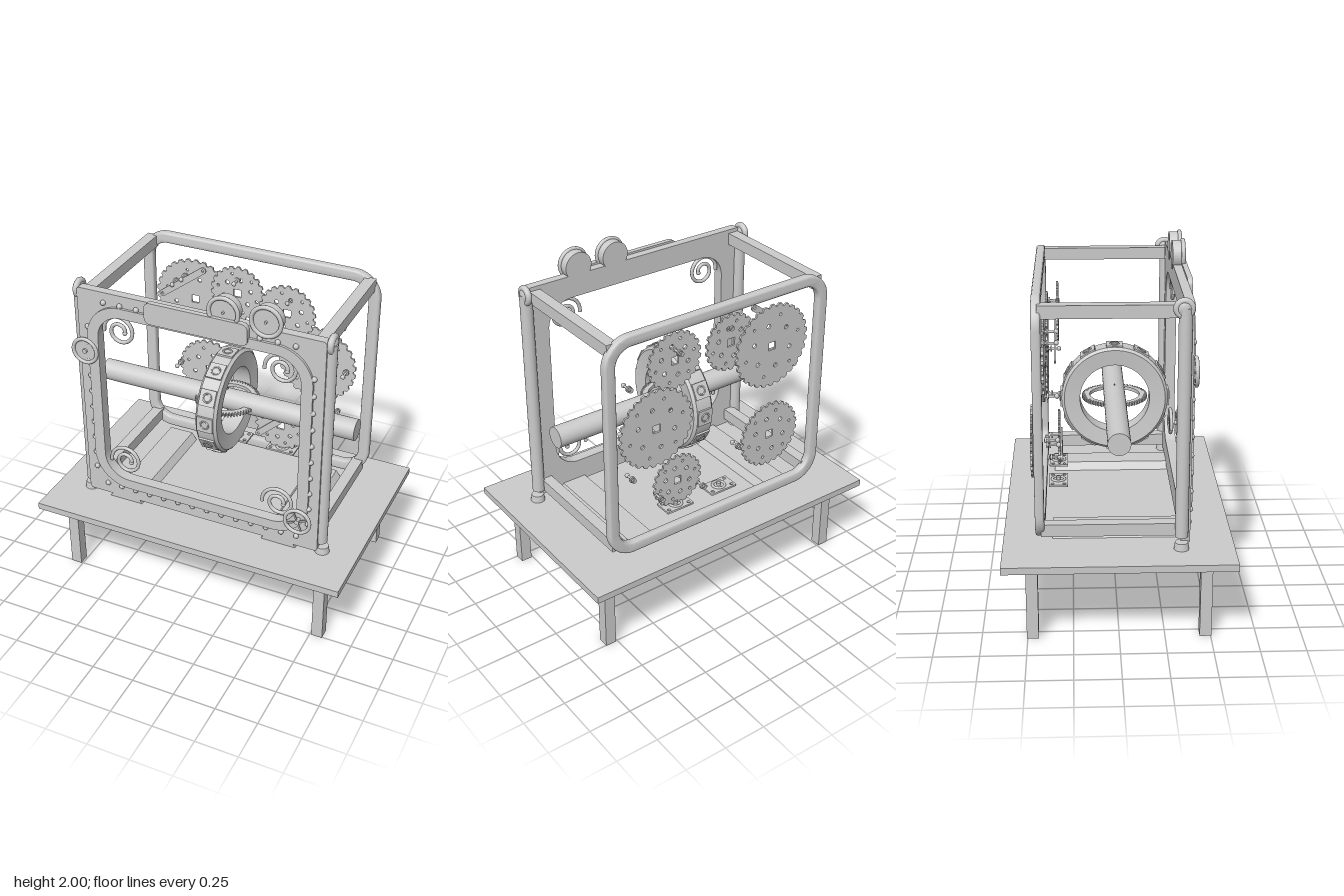
import * as THREE from 'three';
import { toCreasedNormals } from 'three/addons/utils/BufferGeometryUtils.js';

const MAT = new THREE.MeshStandardMaterial({ color: 0xcccccc, side: THREE.DoubleSide });
const TAU = Math.PI * 2;

export function createModel() {
  const root = new THREE.Group();

  const add = (name, geo, x = 0, y = 0, z = 0, parent = root) => {
    const m = new THREE.Mesh(geo, MAT);
    m.name = name;
    m.position.set(x, y, z);
    parent.add(m);
    return m;
  };
  const group = (name, x = 0, y = 0, z = 0) => {
    const g = new THREE.Group();
    g.name = name;
    g.position.set(x, y, z);
    root.add(g);
    return g;
  };
  const box = (w, h, d) => new THREE.BoxGeometry(w, h, d);
  const rodX = (r, l, n = 32) => new THREE.CylinderGeometry(r, r, l, n).rotateZ(Math.PI / 2);
  const rodZ = (r, l, n = 24) => new THREE.CylinderGeometry(r, r, l, n).rotateX(Math.PI / 2);
  const extrude = (shape, depth, bevel = 0) => toCreasedNormals(new THREE.ExtrudeGeometry(shape, {
    depth, curveSegments: 10, bevelEnabled: bevel > 0, bevelSize: bevel,
    bevelThickness: bevel, bevelOffset: -bevel, bevelSegments: 3 }), 0.6);

  // rounded rectangle outline
  const roundRect = (x0, y0, x1, y1, r) => {
    const s = new THREE.Shape();
    s.absarc(x1 - r, y0 + r, r, -Math.PI / 2, 0);
    s.absarc(x1 - r, y1 - r, r, 0, Math.PI / 2);
    s.absarc(x0 + r, y1 - r, r, Math.PI / 2, Math.PI);
    s.absarc(x0 + r, y0 + r, r, Math.PI, Math.PI * 1.5);
    s.closePath();
    return s;
  };
  const circleHole = (s, x, y, r) => s.holes.push(new THREE.Path().absarc(x, y, r, 0, TAU, true));
  const ring = (outer, inner) => { outer.holes.push(inner); return outer; };

  // toothed outline
  const toothed = (r, teeth, depth) => {
    const pts = [];
    for (let i = 0; i < teeth; i++)
      [[0, r - depth], [0.22, r], [0.6, r], [0.82, r - depth]].forEach(([f, q]) => {
        const a = (i + f) / teeth * TAU;
        pts.push(new THREE.Vector2(q * Math.cos(a), q * Math.sin(a)));
      });
    return new THREE.Shape(pts);
  };

  // table
  add('tableTop', box(1.89, 0.04, 1.26), 0, 0.47, 0);
  for (const sx of [-1, 1]) for (const sz of [-1, 1])
    add('tableLeg', box(0.065, 0.45, 0.065), sx * 0.792, 0.225, sz * 0.472);

  // front plate with raised inner border
  add('frontPlate', extrude(ring(roundRect(-0.725, 0.515, 0.725, 1.86, 0.02),
    roundRect(-0.6, 0.655, 0.6, 1.73, 0.15)), 0.05), 0, 0, 0.335);
  add('frontBorder', extrude(ring(roundRect(-0.665, 0.595, 0.665, 1.79, 0.21),
    roundRect(-0.6, 0.655, 0.6, 1.73, 0.15)), 0.015), 0, 0, 0.385);
  add('headPlate', extrude(roundRect(-0.3, 1.745, 0.3, 1.872, 0.035), 0.03), 0, 0, 0.383);

  // rivets round the plate
  const rivet = (x, y) => add('rivet', new THREE.SphereGeometry(0.016, 10, 8), x, y, 0.388);
  for (let i = 0; i < 10; i++) for (const s of [-1, 1]) rivet(s * 0.667, 0.69 + i * 0.1045);
  for (let i = 0; i < 14; i++) rivet(-0.6 + i * 1.2 / 13, 0.585);
  for (const x of [0.36, 0.46, 0.56]) { rivet(x, 1.8); rivet(-x, 1.8); }

  // rear frame
  add('rearFrame', extrude(ring(roundRect(-0.74, 0.52, 0.74, 1.87, 0.16),
    roundRect(-0.675, 0.585, 0.675, 1.805, 0.1)), 0.026, 0.012), 0, 0, -0.438);

  for (const s of [-1, 1]) {
    // side beams
    add('topBeam', box(0.065, 0.07, 0.75), s * 0.677, 1.805, -0.045);
    add('bottomBeam', box(0.065, 0.07, 0.75), s * 0.677, 0.59, -0.045);
    // front posts with feet and scroll caps
    add('frontPost', new THREE.CylinderGeometry(0.036, 0.036, 1.27, 20), s * 0.731, 1.195, 0.338);
    add('postFoot', new THREE.CylinderGeometry(0.036, 0.042, 0.04, 20), s * 0.74, 0.51, 0.338);
    add('postCap', new THREE.SphereGeometry(0.045, 20, 14).scale(0.55, 1, 1), s * 0.738, 1.828, 0.33);
    add('postCapRim', new THREE.TorusGeometry(0.04, 0.018, 10, 28).rotateY(Math.PI / 2), s * 0.738, 1.828, 0.33);
    // base runners
    const runner = new THREE.Shape([[-0.105, 0], [0.105, 0], [0.075, 0.045], [-0.075, 0.045]]
      .map(p => new THREE.Vector2(...p)));
    add('baseRunner', extrude(runner, 0.74), s * 0.488, 0.49, -0.36);
  }

  // corner scrolls
  const spiral = new THREE.CatmullRomCurve3(Array.from({ length: 26 }, (_, i) => {
    const t = i / 25, a = Math.PI * (1.05 - 3.1 * t), r = 0.1 - 0.07 * t;
    return new THREE.Vector3(r * Math.cos(a), r * Math.sin(a), 0);
  }));
  for (const x of [-0.478, 0.478]) for (const y of [0.765, 1.63]) {
    const g = group('cornerScroll', x, y, 0.365);
    add('scroll', new THREE.TubeGeometry(spiral, 60, 0.011, 8), 0, 0, 0, g);
    add('scrollTip', new THREE.SphereGeometry(0.014, 10, 8), 0.03 * Math.cos(-2.05 * Math.PI), 0.03 * Math.sin(-2.05 * Math.PI), 0, g);
  }

  // twin bells
  for (const x of [0.155, 0.395]) {
    const g = group('bell', x, 1.905, 0);
    add('bellDrum', rodZ(0.082, 0.06, 40), 0, 0, 0.362, g);
    add('bellRim', new THREE.TorusGeometry(0.083, 0.012, 10, 40), 0, 0, 0.393, g);
    add('bellPin', rodZ(0.008, 0.02, 10), 0, 0, 0.395, g);
  }

  // hand wheels on the front
  const handWheel = (x, y, z, spokes) => {
    const g = group('handWheel', x, y, z);
    add('wheelRim', new THREE.TorusGeometry(0.073, 0.011, 10, 40), 0, 0, 0, g);
    add('wheelHub', rodZ(0.014, 0.05, 14), 0, 0, -0.015, g);
    for (let i = 0; i < spokes; i++)
      add('wheelSpoke', box(0.14, 0.009, 0.009), 0, 0, 0, g).rotation.z = 0.4 + i * Math.PI / spokes;
  };
  handWheel(0.615, 0.715, 0.422, 2);
  handWheel(-0.687, 1.477, 0.402, 0);
  add('wheelDisc', rodZ(0.07, 0.01, 32), -0.687, 1.477, 0.395);

  // axle and central wheel
  add('axle', rodX(0.062, 1.58, 40), 0, 1.115, 0);
  const wheel = group('centralWheel', 0, 1.115, 0);
  const wheelProfile = [[0.2, -0.055], [0.29, -0.065], [0.305, -0.05], [0.305, 0.05],
    [0.29, 0.065], [0.2, 0.055], [0.2, -0.055]].map(p => new THREE.Vector2(...p));
  add('wheelRing', toCreasedNormals(new THREE.LatheGeometry(wheelProfile, 64).rotateZ(Math.PI / 2), 0.5), 0, 0, 0, wheel);
  for (let i = 0; i < 12; i++) {
    const a = i / 12 * TAU;
    const pad = add('wheelPad', box(0.095, 0.012, 0.09), 0, 0.306 * Math.cos(a), 0.306 * Math.sin(a), wheel);
    pad.rotation.set(a, 0, 0);
    pad.scale.z = 1.05;
    const stud = add('padStud', new THREE.TorusGeometry(0.024, 0.005, 6, 20).rotateX(Math.PI / 2),
      0, 0.313 * Math.cos(a), 0.313 * Math.sin(a), wheel);
    stud.rotation.x = a;
  }
  const crown = toothed(0.187, 64, 0.018);
  circleHole(crown, 0, 0, 0.145);
  add('crownGear', extrude(crown, 0.02).rotateX(-Math.PI / 2), 0, -0.01, 0, wheel);
  add('pointer', new THREE.CylinderGeometry(0.004, 0.004, 0.19, 8), 0, -0.025, 0, wheel);
  add('pointerTip', new THREE.ConeGeometry(0.013, 0.03, 10).rotateX(Math.PI), 0, -0.115, 0, wheel);

  // gear train: x, y, radius, z, teeth
  [[-0.39, 1.485, 0.255, -0.395, 30], [-0.11, 1.59, 0.17, -0.38, 22],
    [0.225, 1.56, 0.175, -0.325, 22], [0.395, 1.23, 0.24, -0.395, 28],
    [-0.335, 0.967, 0.203, -0.468, 26], [0.205, 0.785, 0.165, -0.325, 22],
  ].forEach(([x, y, r, z, teeth]) => {
    const s = toothed(r, teeth, 0.015);
    const q = 0.024;
    s.holes.push(new THREE.Path([[-q, -q], [-q, q], [q, q], [q, -q]].map(p => new THREE.Vector2(...p))));
    for (let i = 0; i < 6; i++) {
      const a = i / 6 * TAU + 0.3;
      circleHole(s, r * 0.52 * Math.cos(a), r * 0.52 * Math.sin(a), 0.013);
      circleHole(s, r * 0.74 * Math.cos(a + 0.5), r * 0.74 * Math.sin(a + 0.5), 0.009);
    }
    add('gear', extrude(s, 0.012), x, y, z - 0.006);
  });

  // gear studs
  [[-0.51, 1.585], [-0.57, 1.31], [0.55, 1.515], [0.58, 1.225], [-0.49, 1.03], [0.54, 0.945],
    [-0.11, 1.675], [0.225, 1.625], [0.35, 0.74], [-0.45, 1.63], [0.06, 0.71], [-0.19, 0.885],
  ].forEach(([x, y]) => {
    const g = group('stud', x, y, -0.36);
    add('studPin', rodZ(0.007, 0.075, 10), 0, 0, 0, g);
    add('studHead', new THREE.SphereGeometry(0.014, 10, 8), 0, 0, 0.036, g);
    add('studCollar', rodZ(0.018, 0.01, 14), 0, 0, -0.012, g);
    add('studBase', rodZ(0.015, 0.01, 14), 0, 0, -0.03, g);
  });

  // link arms
  const arm = (x0, y0, x1, y1, z) => {
    const dx = x1 - x0, dy = y1 - y0, l = Math.hypot(dx, dy);
    const s = roundRect(-l / 2 - 0.02, -0.02, l / 2 + 0.02, 0.02, 0.0199);
    for (const k of [-1, 1]) circleHole(s, k * l / 2, 0, 0.008);
    add('linkArm', extrude(s, 0.01), (x0 + x1) / 2, (y0 + y1) / 2, z).rotation.z = Math.atan2(dy, dx);
  };
  arm(-0.575, 1.515, -0.31, 1.715, -0.335);
  arm(0.065, 0.7, 0.2, 0.825, -0.315);

  // bearing plates above the base
  for (const x of [-0.09, 0.22]) {
    const s = roundRect(-0.09, -0.055, 0.09, 0.055, 0.004);
    for (const i of [-1, 1]) for (const j of [-1, 1]) circleHole(s, i * 0.068, j * 0.034, 0.01);
    const g = group('bearing', x, 0.62, -0.33);
    add('bearingPlate', extrude(s, 0.012).rotateX(-Math.PI / 2), 0, 0, 0, g);
    add('bearingRing', new THREE.TorusGeometry(0.036, 0.008, 8, 28).rotateX(Math.PI / 2), 0, 0.014, 0, g);
    add('bearingHub', new THREE.CylinderGeometry(0.012, 0.012, 0.03, 14), 0, 0.015, 0, g);
  }
  return root;
}
